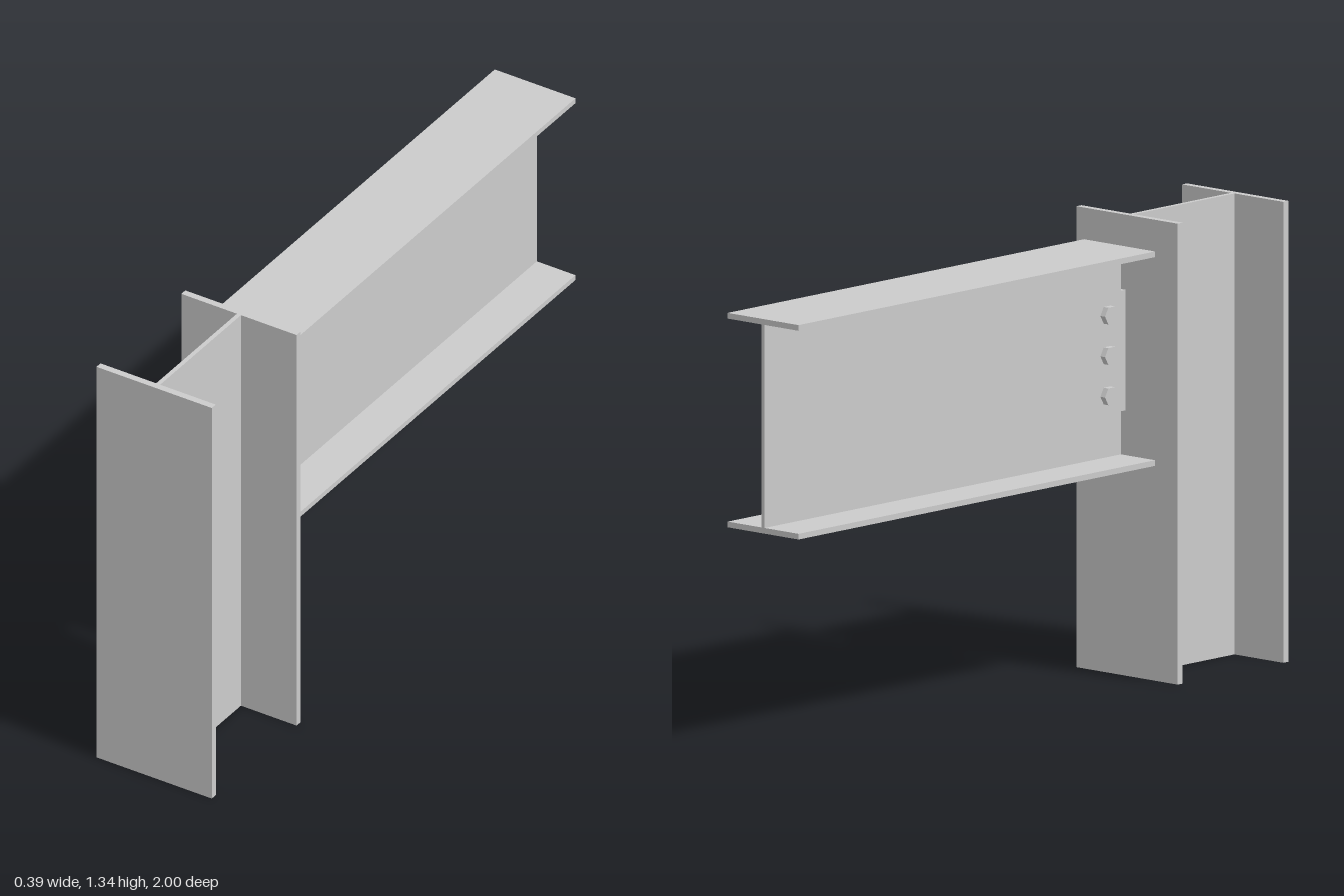
import * as THREE from 'three';

const steel = new THREE.MeshStandardMaterial({ color: 0xcccccc, flatShading: true });

function add(parent, name, geometry, x = 0, y = 0, z = 0) {
  const mesh = new THREE.Mesh(geometry, steel);
  mesh.name = name;
  mesh.position.set(x, y, z);
  parent.add(mesh);
  return mesh;
}

// I-shaped profile centred on the origin, extruded along +z
function iBeam(width, depth, flange, web, length) {
  const w = width / 2, d = depth / 2, t = web / 2, f = d - flange;
  const shape = new THREE.Shape([
    [-w, -d], [w, -d], [w, -f], [t, -f], [t, f], [w, f],
    [w, d], [-w, d], [-w, f], [-t, f], [-t, -f], [-w, -f],
  ].map(([x, y]) => new THREE.Vector2(x, y)));
  return new THREE.ExtrudeGeometry(shape, { depth: length, bevelEnabled: false });
}

// Cylinder lying along x, from x0 to x1
function rod(parent, name, radius, sides, x0, x1) {
  const geometry = new THREE.CylinderGeometry(radius, radius, x1 - x0, sides);
  geometry.rotateZ(-Math.PI / 2);
  return add(parent, name, geometry, (x0 + x1) / 2);
}

export function createModel() {
  const model = new THREE.Group();
  model.name = 'beamToColumnConnection';

  // Upright column, flanges facing front and back
  const column = iBeam(0.39, 0.466, 0.021, 0.0135, 1.335);
  column.rotateX(-Math.PI / 2);
  add(model, 'column', column, 0, 0, 0.767);

  // Horizontal beam running backwards, with a small gap to the column
  const webThickness = 0.0115;
  add(model, 'beam', iBeam(0.273, 0.621, 0.0165, webThickness, 1.502), 0, 0.941, -1);

  // Shear tab on the left face of the beam web
  const webFace = webThickness / 2, tab = 0.015;
  add(model, 'shearTab', new THREE.BoxGeometry(tab, 0.349, 0.15), webFace + tab / 2, 0.943, 0.459);

  // Bolts through web and tab: head on the right, nut on the left
  for (let i = -1; i <= 1; i++) {
    const bolt = new THREE.Group();
    bolt.name = 'bolt';
    bolt.position.set(0, 0.943 + i * 0.117, 0.443);
    const tabFace = webFace + tab;
    rod(bolt, 'boltHead', 0.028, 6, -webFace - 0.018, -webFace);
    rod(bolt, 'boltNut', 0.028, 6, tabFace, tabFace + 0.024);
    rod(bolt, 'boltShank', 0.0146, 20, -webFace, tabFace + 0.037);
    model.add(bolt);
  }
  return model;
}
